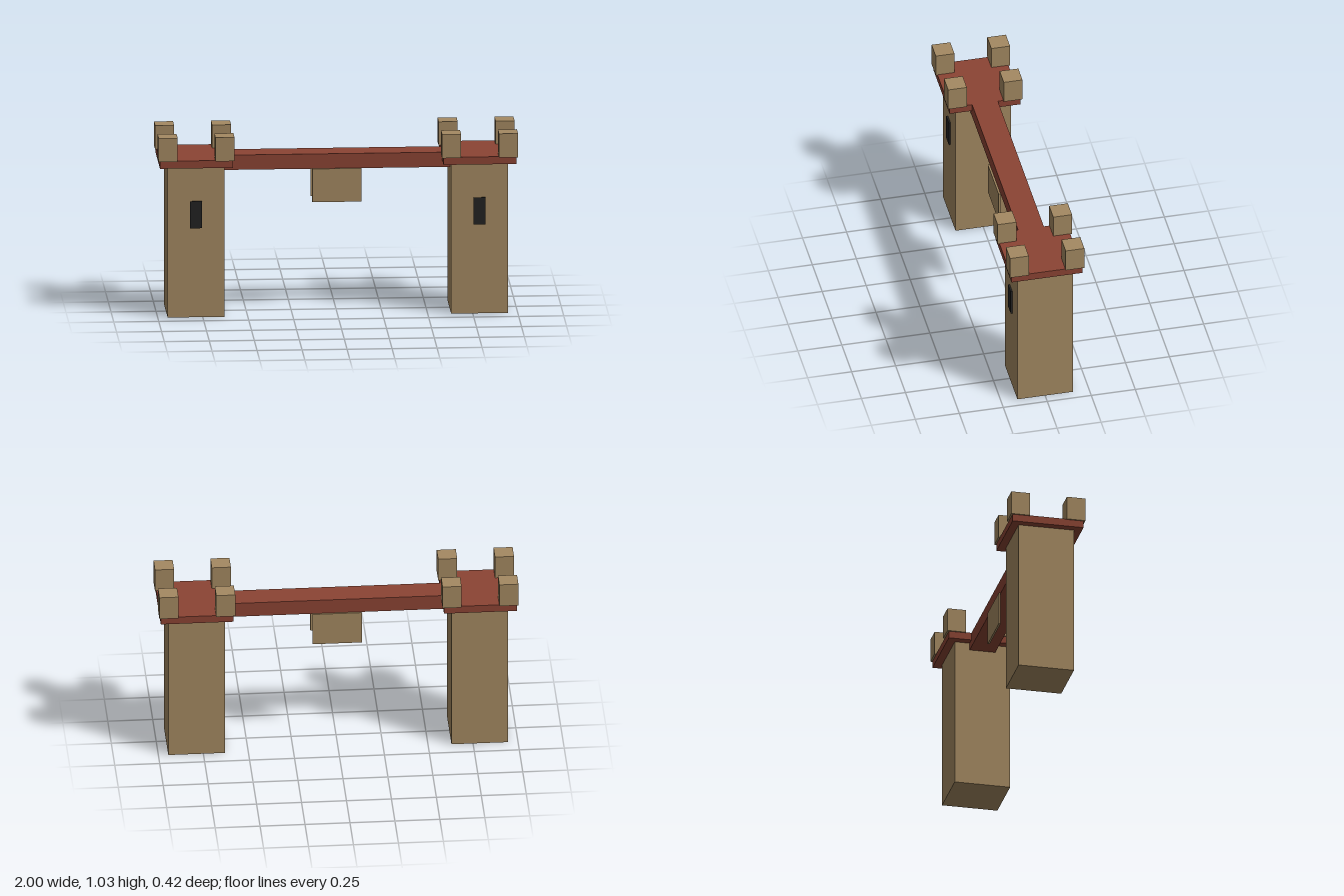
import * as THREE from 'three';

export function createModel() {
  const model = new THREE.Group();
  model.name = 'gateway';

  const paint = (name, color) => {
    const m = new THREE.MeshStandardMaterial({ color });
    m.name = name;
    return m;
  };
  const stone = paint('sandstone', 0xa58a62);
  const red = paint('brick red', 0x8c4434);
  const dark = paint('dark opening', 0x222222);

  // Box given by its centre in x and z, and its bottom and top heights
  const box = (parent, name, mat, w, d, y0, y1, x = 0, z = 0) => {
    const mesh = new THREE.Mesh(new THREE.BoxGeometry(w, y1 - y0, d), mat);
    mesh.position.set(x, (y0 + y1) / 2, z);
    mesh.name = name;
    parent.add(mesh);
  };

  // Two towers with overhanging caps, corner battlements and a front window
  for (const side of [-1, 1]) {
    const tower = new THREE.Group();
    tower.name = side > 0 ? 'leftTower' : 'rightTower';
    tower.position.x = side * 0.7875;
    box(tower, 'towerBody', stone, 0.315, 0.315, 0, 0.857);
    box(tower, 'towerCap', red, 0.405, 0.403, 0.857, 0.9);
    for (const x of [-0.158, 0.158])
      for (const z of [-0.158, 0.158])
        box(tower, 'battlement', stone, 0.106, 0.106, 0.897, 1.032, x, z);
    box(tower, 'window', dark, 0.066, 0.0098, 0.508, 0.66, 0, 0.1629);
    model.add(tower);
  }

  // Walkway joining the towers
  box(model, 'walkway', red, 1.27, 0.146, 0.816, 0.9);

  // Thin hanging panels on the front and back of the walkway
  for (const z of [-0.0785, 0.0785])
    box(model, 'hangingPanel', stone, 0.274, 0.0105, 0.628, 0.817, 0, z);

  return model;
}
